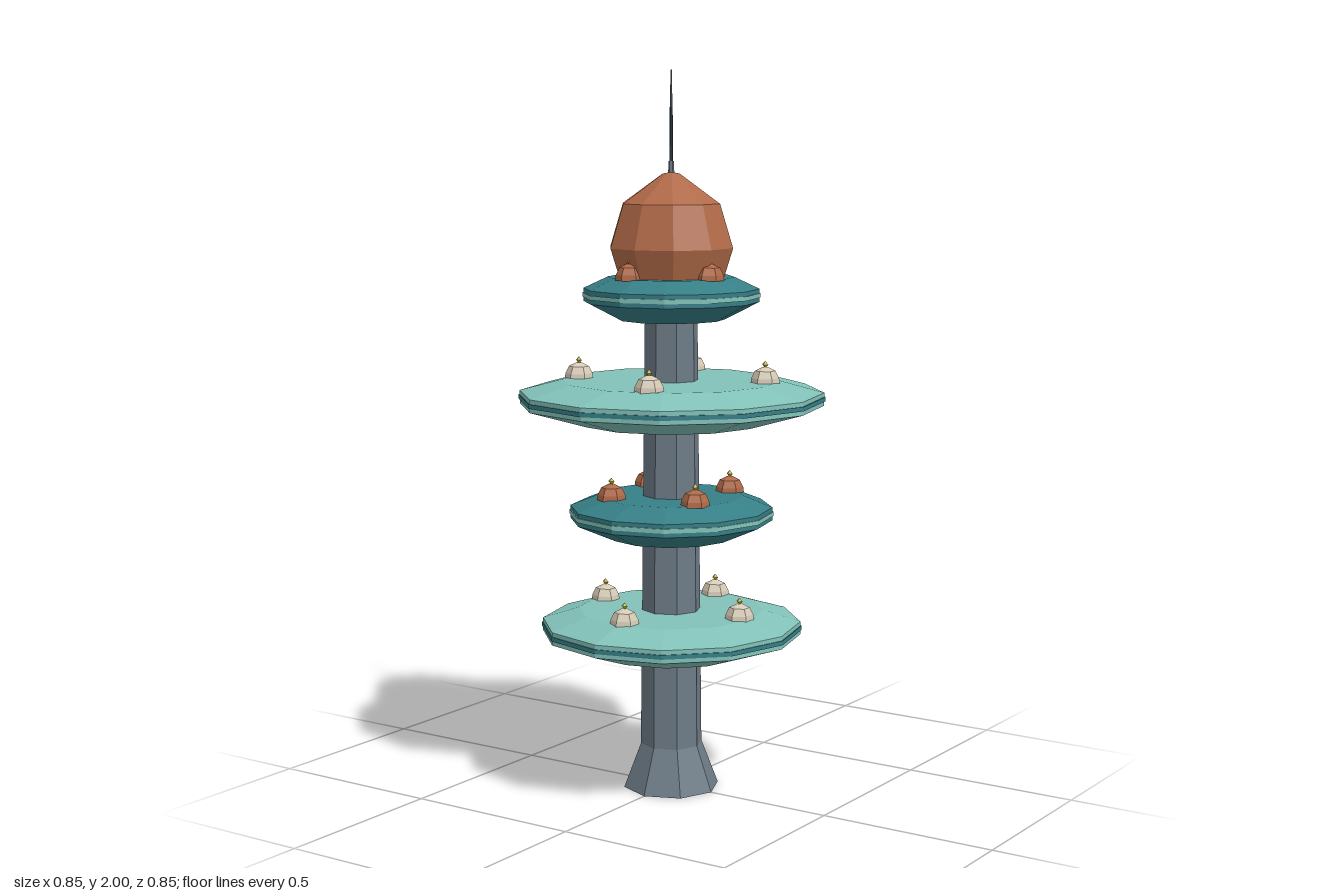
import * as THREE from 'three';

const mat = (name, color) => {
  const m = new THREE.MeshStandardMaterial({ color });
  m.name = name;
  return m;
};

export function createModel() {
  const steel = mat('steel grey', 0x6d7b86);
  const dark = mat('dark slate', 0x35424c);
  const mint = mat('mint', 0x82c2b9);
  const teal = mat('deep teal', 0x367f86);
  const rust = mat('rust', 0xb06a48);
  const cream = mat('cream', 0xd8ccb8);
  const yellow = mat('yellow', 0xc4b632);

  const model = new THREE.Group();
  model.name = 'tieredTower';

  const add = (parent, name, geometry, material) => {
    const mesh = new THREE.Mesh(geometry, material);
    mesh.name = name;
    parent.add(mesh);
    return mesh;
  };

  // Faceted solid of revolution from [radius, height] points, bottom to top
  const facetedLathe = (points, sides) => {
    const profile = points.map(([r, y]) => new THREE.Vector2(r, y));
    const geometry = new THREE.LatheGeometry(profile, sides).toNonIndexed();
    geometry.computeVertexNormals();
    return geometry;
  };

  // Trunk with a flared foot
  add(model, 'trunk', facetedLathe(
    [[0, 0], [0.135, 0], [0.087, 0.125], [0.073, 1.4], [0, 1.4]], 8), steel);

  // Small hexagonal hut with a low roof and a finial
  const hutShape = facetedLathe(
    [[0, -0.003], [0.04, -0.003], [0.038, 0.012], [0.028, 0.032], [0.008, 0.042], [0, 0.042]], 6);
  const finialShape = new THREE.OctahedronGeometry(0.01, 0);
  const makeHut = (material) => {
    const hut = new THREE.Group();
    hut.name = 'hut';
    add(hut, 'hutBody', hutShape, material);
    add(hut, 'finial', finialShape, yellow).position.y = 0.049;
    return hut;
  };

  // Platforms, each ring of huts turned a little further than the one below
  const tiers = [
    { y: 0.46, r: 0.365, deck: mint, trim: teal, hut: cream },
    { y: 0.783, r: 0.285, deck: teal, trim: mint, hut: rust },
    { y: 1.105, r: 0.425, deck: mint, trim: teal, hut: cream },
    { y: 1.39, r: 0.245, deck: teal, trim: mint, hut: rust },
  ];
  tiers.forEach(({ y, r, deck, trim, hut }, i) => {
    const tier = new THREE.Group();
    tier.name = `tier${i + 1}`;
    tier.position.y = y;
    model.add(tier);
    add(tier, 'platform', facetedLathe([
      [0, -0.067], [r * 0.6, -0.067], [r - 0.003, -0.018],
      [r - 0.003, 0.018], [r * 0.71, 0.05], [0, 0.05]], 12), deck);
    add(tier, 'rimTrim', facetedLathe([
      [r - 0.003, -0.006], [r, -0.006], [r, 0.006], [r - 0.003, 0.006]], 12), trim);
    for (let k = 0; k < 4; k++) {
      const angle = i * 0.6 + k * Math.PI / 2;
      const h = makeHut(hut);
      h.position.set(Math.cos(angle) * r * 0.62, 0.05, Math.sin(angle) * r * 0.62);
      tier.add(h);
    }
  });

  // Dome
  add(model, 'dome', facetedLathe([
    [0, 1.435], [0.148, 1.435], [0.175, 1.52], [0.138, 1.64],
    [0.025, 1.72], [0, 1.725]], 10), rust);

  // Stepped mast
  const masts = [
    ['mastBase', 0.009, 1.71, 1.755, steel],
    ['mast', 0.005, 1.755, 1.9, dark],
    ['mastTip', 0.003, 1.9, 2, steel],
  ];
  for (const [name, r, y0, y1, material] of masts) {
    add(model, name, facetedLathe([[0, y0], [r, y0], [r * 0.8, y1], [0, y1]], 6), material);
  }

  return model;
}
